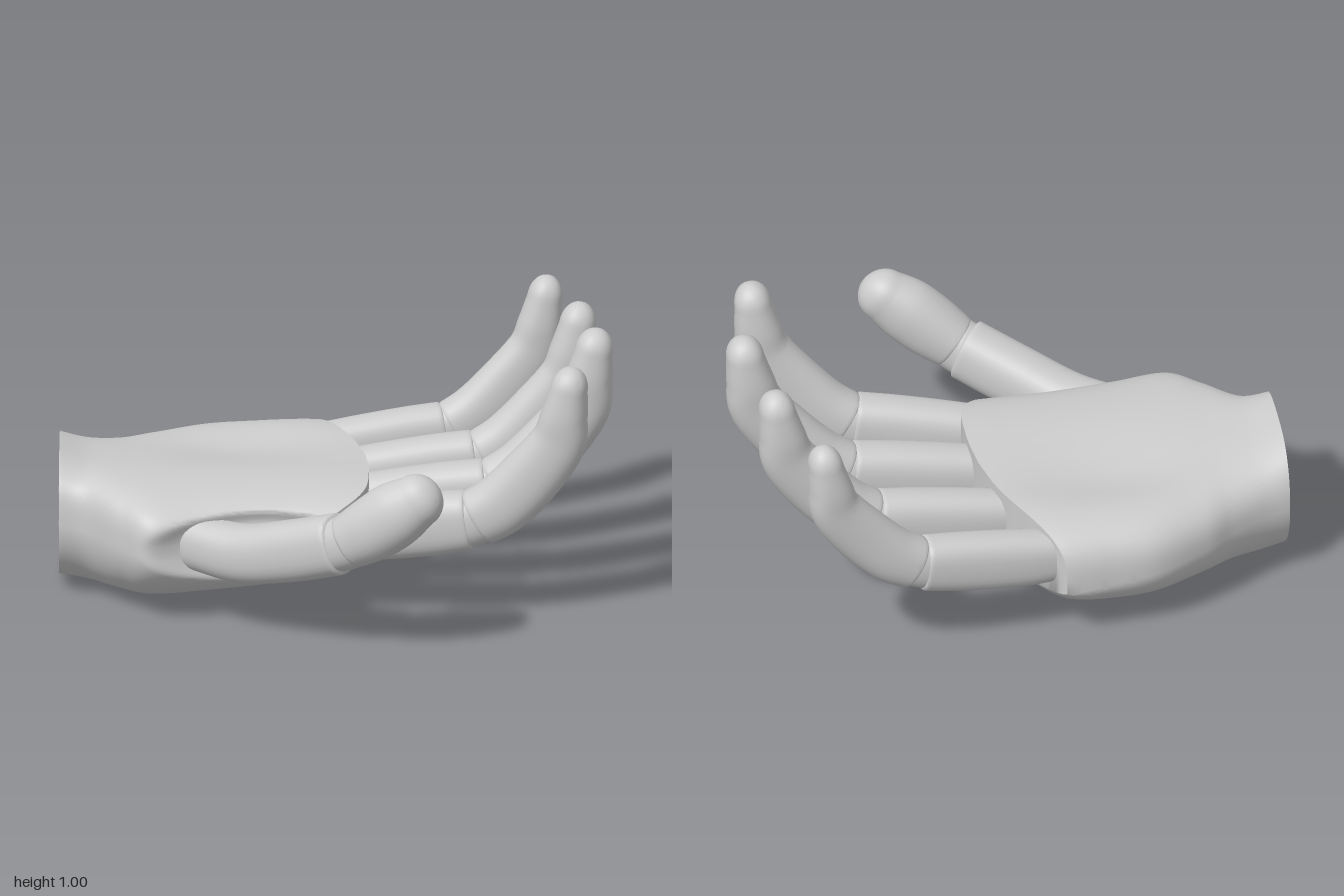
import * as THREE from 'three';
import { toCreasedNormals } from 'three/addons/utils/BufferGeometryUtils.js';

const V = (x, y, z) => new THREE.Vector3(x, y, z);
const SIDES = 32;
const spow = (v, p) => Math.sign(v) * Math.pow(Math.abs(v), p);

// Smooth interpolation through rows of numbers, t from 0 to 1
function sample(rows, t) {
  const n = rows.length - 1;
  const i = Math.min(Math.floor(t * n), n - 1);
  const f = t * n - i;
  const r = (k) => rows[Math.max(0, Math.min(n, k))];
  return rows[i].map((_, c) => {
    const a = r(i - 1)[c], b = r(i)[c], d = r(i + 1)[c], e = r(i + 2)[c];
    return b + 0.5 * f * (d - a + f * (2 * a - 5 * b + 4 * d - e + f * (3 * (b - d) + e - a)));
  });
}

// Skin a list of closed rings
function skin(rings, crease) {
  const n = rings[0].length;
  const pos = [], idx = [];
  rings.forEach((ring) => ring.forEach((p) => pos.push(p.x, p.y, p.z)));
  for (let i = 0; i < rings.length - 1; i++) {
    for (let j = 0; j < n; j++) {
      const a = i * n + j, b = i * n + (j + 1) % n;
      idx.push(a, b, b + n, a, b + n, a + n);
    }
  }
  const g = new THREE.BufferGeometry();
  g.setAttribute('position', new THREE.Float32BufferAttribute(pos, 3));
  g.setIndex(idx);
  return toCreasedNormals(g, crease);
}

// Rounded limb along rows of [x, y, z, half width, half height]; caps are dome lengths
function limb(rows, side, power, startCap, endCap, steps = 24) {
  const at = (t) => { const r = sample(rows, t); return { c: V(r[0], r[1], r[2]), w: r[3], h: r[4] }; };
  const rings = [];
  const addRing = (t, scale, push) => {
    const { c, w, h } = at(t);
    const T = at(Math.min(1, t + 0.01)).c.sub(at(Math.max(0, t - 0.01)).c).normalize();
    const S = side.clone().addScaledVector(T, -side.dot(T)).normalize();
    const N = T.clone().cross(S);
    const ring = [];
    for (let j = 0; j < SIDES; j++) {
      const a = (j / SIDES) * Math.PI * 2;
      ring.push(c.clone().addScaledVector(T, push)
        .addScaledVector(S, w * scale * spow(Math.cos(a), 2 / power))
        .addScaledVector(N, h * scale * spow(Math.sin(a), 2 / power)));
    }
    rings.push(ring);
  };
  const dome = 8;
  for (let k = 0; k < dome; k++) {
    const a = (k / dome) * Math.PI / 2;
    addRing(0, Math.sin(a), -startCap * Math.cos(a));
  }
  for (let k = 0; k <= steps; k++) addRing(k / steps, 1, 0);
  for (let k = 1; k <= dome; k++) {
    const a = (k / dome) * Math.PI / 2;
    addRing(1, Math.cos(a), endCap * Math.sin(a));
  }
  return skin(rings, 0.75);
}

// Curved knuckle end of the palm
const endX = (z) => {
  const d = z + 0.02;
  return d < 0 ? 0.12 - 0.26 * (d / 0.72) ** 2 : 0.12 - 0.19 * (d / 0.345) ** 4;
};

function palmGeometry() {
  // x, back z, thumb-side z, bottom, top, widest height
  const rows = [
    [-1, -0.44, 0.12, 0.03, 0.525, 0.3],
    [-0.9, -0.47, 0.155, 0.015, 0.492, 0.29],
    [-0.78, -0.53, 0.29, 0.005, 0.48, 0.28],
    [-0.66, -0.61, 0.385, 0, 0.478, 0.27],
    [-0.45, -0.70, 0.36, 0.005, 0.478, 0.25],
    [-0.2, -0.725, 0.33, 0.035, 0.478, 0.23],
    [0, -0.735, 0.325, 0.09, 0.475, 0.22],
    [0.12, -0.735, 0.325, 0.17, 0.47, 0.22],
  ];
  const rings = [];
  const steps = 72, around = 128;
  for (let i = 0; i <= steps; i++) {
    const [x0, z0, z1, yb, yt, ym] = sample(rows, i / steps);
    const t = (x0 + 1) / 1.12;
    const ring = [];
    for (let j = 0; j < around; j++) {
      const a = (j / around) * Math.PI * 2;
      const c = Math.cos(a), s = Math.sin(a);
      // boxy above, rounder below with the keel set back
      const p = 2 / (c > 0 ? 2.9 + 1.3 * t + 0.4 * s : 1.9);
      let z = (z0 + z1) / 2 + (z1 - z0) / 2 * spow(s, p);
      let y = ym + (c > 0 ? yt - ym : ym - yb) * spow(c, p);
      if (c < 0) z -= 0.06 * t * c * c;
      const x = x0 + (endX(z) - 0.12) * t ** 3;
      // shallow hollow of the palm
      if (c > 0) y -= 0.045 * c * Math.exp(-(((x + 0.35) / 0.35) ** 2) - ((z + 0.32) / 0.2) ** 2);
      // recess where the thumb is mounted
      if (s > 0) {
        const f = 1 - ((x + 0.28) / 0.44) ** 2 - ((y - 0.29) / 0.14) ** 2;
        z -= 0.045 * THREE.MathUtils.smoothstep(f, 0, 0.7);
      }
      ring.push(V(x, y, z));
    }
    rings.push(ring);
  }
  // closing faces at the wrist and the knuckles
  const flatten = (ring, y) => ring.map((p) => V(p.x, y, p.z));
  rings.unshift(flatten(rings[0], 0.3));
  rings.push(flatten(rings[rings.length - 1], 0.32));
  return skin(rings, 0.75);
}

export function createModel() {
  const group = new THREE.Group();
  const grey = new THREE.MeshStandardMaterial({ color: 0xcccccc });
  grey.name = 'grey plastic';
  const add = (name, geometry, parent = group) => {
    const mesh = new THREE.Mesh(geometry, grey);
    mesh.name = name;
    parent.add(mesh);
    return mesh;
  };

  add('palm', palmGeometry());

  // Small screw studs on the wrist face
  for (const y of [-0.065, 0.065]) for (const z of [-0.07, 0.07]) {
    const stud = add('wristStud', new THREE.TorusGeometry(0.013, 0.004, 8, 16));
    stud.rotation.y = Math.PI / 2;
    stud.position.set(-0.998, 0.3 + y, -0.15 + z);
  }

  // Fingers: along-finger fraction, height, half width, half height
  const lower = [[-0.02, 0.315, 0.08, 0.1], [0.1, 0.323, 0.085, 0.11], [0.25, 0.34, 0.088, 0.115],
    [0.42, 0.362, 0.088, 0.115], [0.56, 0.382, 0.088, 0.108]];
  const joint = [[0.5, 0.374, 0.082, 0.1], [0.57, 0.386, 0.085, 0.1], [0.64, 0.414, 0.082, 0.097]];
  const upper = [[0.61, 0.398, 0.088, 0.107], [0.71, 0.455, 0.086, 0.113], [0.83, 0.567, 0.08, 0.112],
    [0.94, 0.7, 0.078, 0.102], [0.97, 0.81, 0.082, 0.086], [0.99, 0.915, 0.074, 0.068]];
  const fingers = [
    { name: 'indexFinger', x: [0, 0.855], z: [0.195, 0.31], rise: 0.975, size: 1 },
    { name: 'middleFinger', x: [0.03, 0.943], z: [-0.06, -0.055], rise: 1, size: 1.02 },
    { name: 'ringFinger', x: [0.01, 0.88], z: [-0.345, -0.392], rise: 0.96, size: 0.98 },
    { name: 'littleFinger', x: [-0.1, 0.758], z: [-0.615, -0.736], rise: 0.92, size: 0.93 },
  ];
  for (const f of fingers) {
    const finger = new THREE.Group();
    finger.name = f.name;
    group.add(finger);
    const side = V(f.z[1] - f.z[0], 0, f.x[0] - f.x[1]).normalize();
    const place = (rows) => rows.map(([u, y, w, h]) => [
      THREE.MathUtils.lerp(f.x[0], f.x[1], u), 0.32 + (y - 0.32) * f.rise,
      THREE.MathUtils.lerp(f.z[0], f.z[1], u), w * f.size, h * f.size]);
    add('lowerSegment', limb(place(lower), side, 2.7, 0.02, 0.02), finger);
    add('knuckleJoint', limb(place(joint), side, 2.4, 0.01, 0.01, 8), finger);
    add('upperSegment', limb(place(upper), side, 2.3, 0.025, 0.088, 36), finger);
  }

  // Thumb: x, y, z, half width, half height
  const thumb = new THREE.Group();
  thumb.name = 'thumb';
  group.add(thumb);
  const side = V(0.53, 0, -0.85).normalize();
  add('lowerSegment', limb([[-0.5, 0.295, 0.27, 0.09, 0.098], [-0.33, 0.295, 0.385, 0.1, 0.105],
    [-0.15, 0.35, 0.505, 0.1, 0.112], [0.015, 0.415, 0.61, 0.098, 0.112]], side, 2.5, 0.06, 0.02), thumb);
  add('knuckleJoint', limb([[-0.03, 0.396, 0.58, 0.09, 0.1], [0.03, 0.42, 0.62, 0.09, 0.1],
    [0.09, 0.455, 0.65, 0.09, 0.1]], side, 2.3, 0.01, 0.01, 8), thumb);
  add('upperSegment', limb([[0.06, 0.438, 0.637, 0.096, 0.103], [0.14, 0.495, 0.667, 0.105, 0.118],
    [0.225, 0.562, 0.692, 0.103, 0.12], [0.3, 0.618, 0.708, 0.088, 0.1]], side, 2.2, 0.025, 0.095), thumb);

  return group;
}
